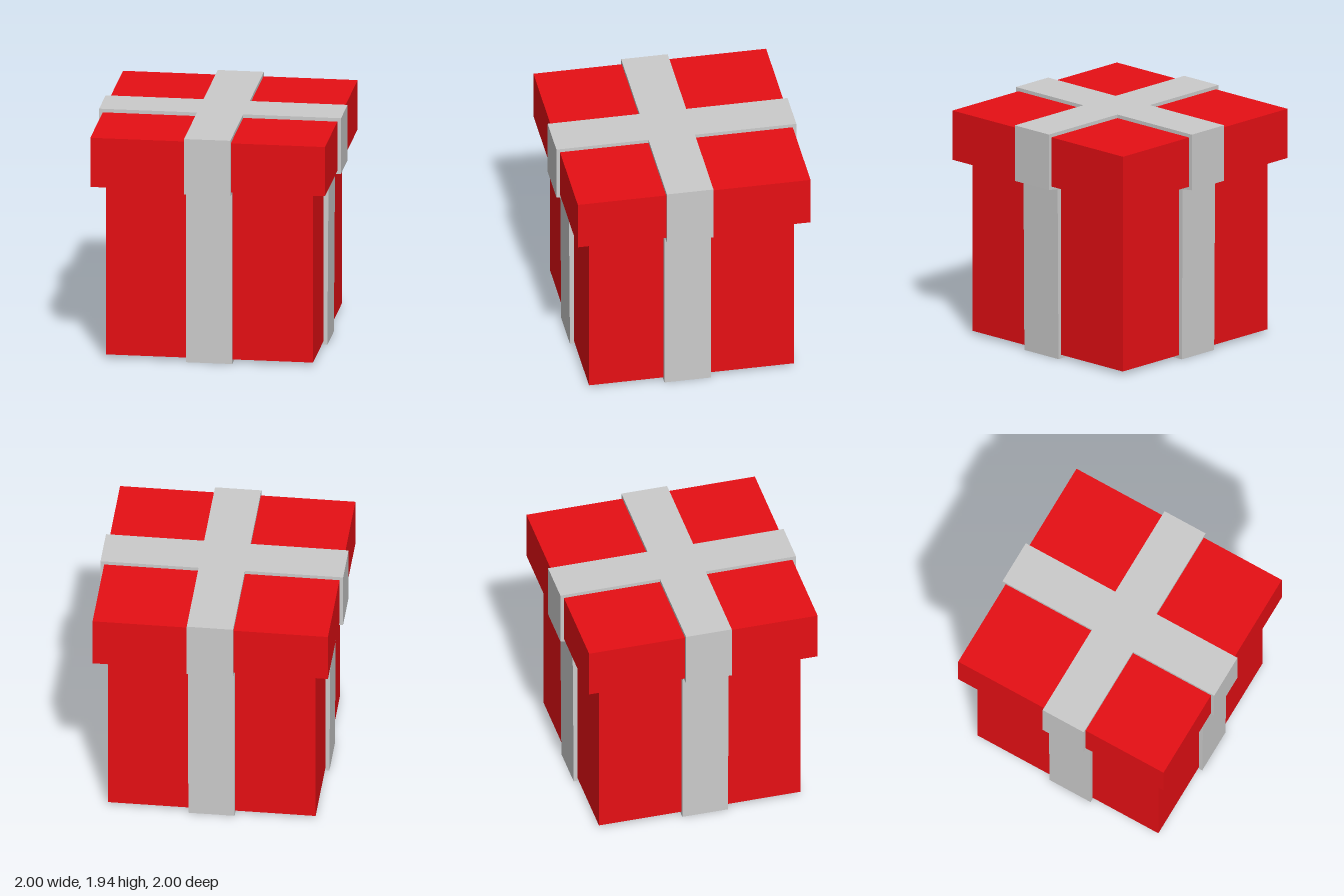
import * as THREE from 'three';

const red = new THREE.MeshStandardMaterial({ color: 0xe60f14 });
const grey = new THREE.MeshStandardMaterial({ color: 0xcccccc });
const gold = new THREE.MeshStandardMaterial({ color: 0xffc400 });

// Box standing between two heights
function block(name, width, y0, y1, material) {
  const mesh = new THREE.Mesh(new THREE.BoxGeometry(width, y1 - y0, width), material);
  mesh.name = name;
  mesh.position.y = (y0 + y1) / 2;
  return mesh;
}

// Flat band following the silhouette of box and lid, extruded to the ribbon width
function ribbon(name, width) {
  const half = [[0.887, 0], [0.897, 1.453], [1, 1.466], [1, 1.94]];
  const outline = [...half, ...half.map(([x, y]) => [-x, y]).reverse()];
  const shape = new THREE.Shape(outline.map(([x, y]) => new THREE.Vector2(x, y)));
  const geometry = new THREE.ExtrudeGeometry(shape, { depth: width, bevelEnabled: false });
  geometry.translate(0, 0, -width / 2);
  const mesh = new THREE.Mesh(geometry, grey);
  mesh.name = name;
  return mesh;
}

export function createModel() {
  const group = new THREE.Group();
  group.name = 'giftBox';

  // Box and overhanging lid
  group.add(block('boxBody', 1.71, 0.03, 1.49, red));
  group.add(block('lid', 1.94, 1.49, 1.91, red));

  // Crossing ribbons; the side-to-side one sits slightly forward
  const sideRibbon = ribbon('sideRibbon', 0.388);
  sideRibbon.position.z = 0.039;
  const frontRibbon = ribbon('frontRibbon', 0.382);
  frontRibbon.rotation.y = Math.PI / 2;
  group.add(sideRibbon, frontRibbon);

  // Gold plate under the box, mostly covered by the ribbon
  group.add(block('basePlate', 0.67, 0.026, 0.06, gold));

  return group;
}
